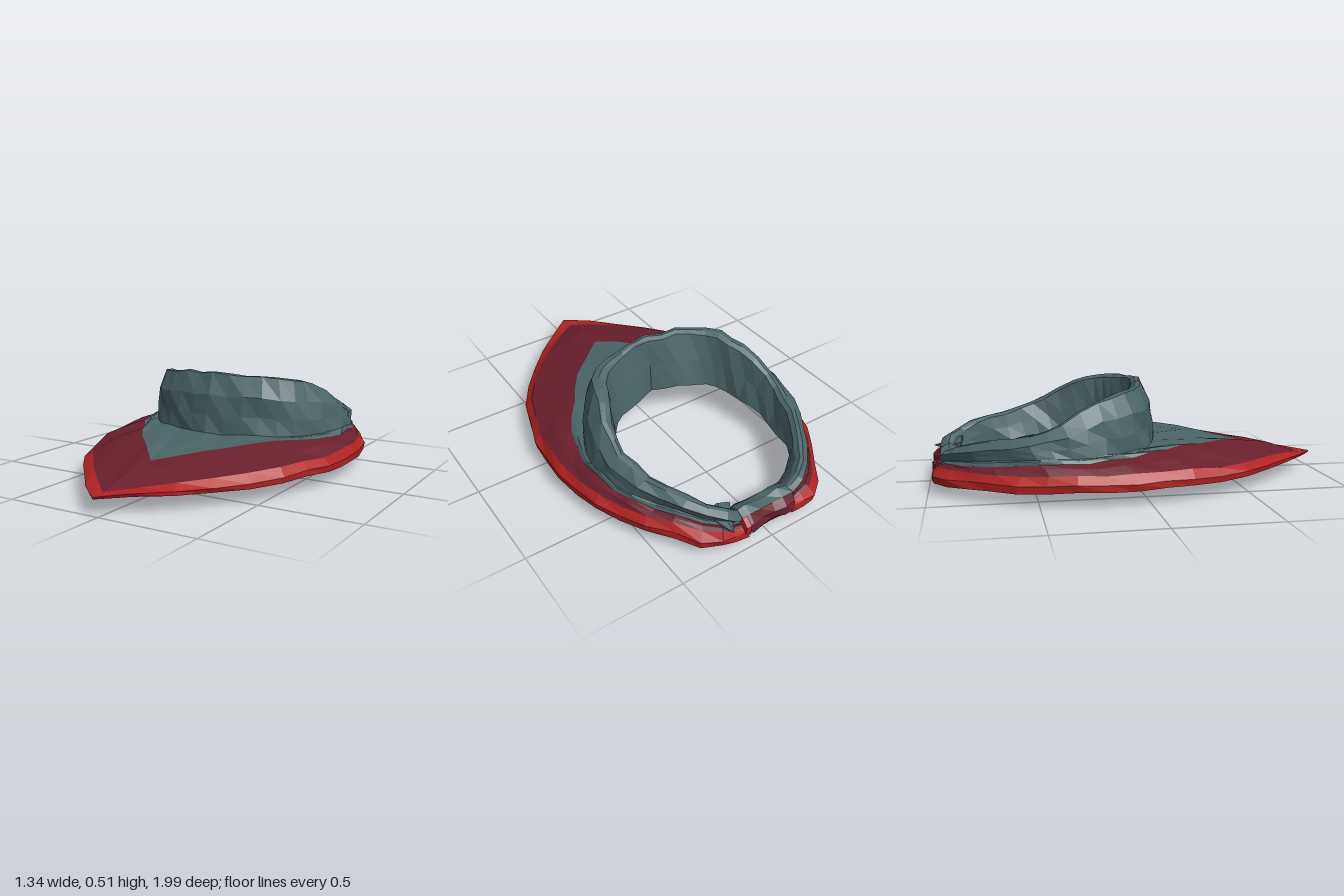
import * as THREE from 'three';

const mat = (name, color) => {
  const m = new THREE.MeshStandardMaterial({ color, flatShading: true, side: THREE.DoubleSide });
  m.name = name;
  return m;
};

// Gentle crumple, driven by position so neighbouring strips stay joined;
// the front point hangs slightly to one side
function crumple(p) {
  const a = 0.006;
  return new THREE.Vector3(
    p.x + a * Math.sin(23 * p.z + 31 * p.y + 5 * p.x) - 0.03 * Math.max(0, p.z) ** 2,
    p.y + a * Math.sin(27 * p.x + 19 * p.z),
    p.z + a * Math.sin(21 * p.x + 37 * p.y + 1));
}

// Quads between consecutive lines of points
function strips(name, lines, material) {
  const pos = [];
  for (let k = 0; k < lines.length - 1; k++) {
    const A = lines[k], B = lines[k + 1];
    for (let i = 0; i < A.length - 1; i++) {
      for (const p of [A[i], A[i + 1], B[i], A[i + 1], B[i + 1], B[i]]) pos.push(p.x, p.y, p.z);
    }
  }
  const g = new THREE.BufferGeometry();
  g.setAttribute('position', new THREE.Float32BufferAttribute(pos, 3));
  g.computeVertexNormals();
  const mesh = new THREE.Mesh(g, material);
  mesh.name = name;
  return mesh;
}

// Half line from the knot round to the front point
const V = (x, y, z) => new THREE.Vector3(x, y, z);
const N = 18;
const half = pts => {
  const c = new THREE.CatmullRomCurve3(pts.map(p => V(...p)));
  return Array.from({ length: N + 1 }, (_, i) => c.getPoint(i / N));
};
// Mirror a half line to the other side
const full = h => [...h, ...h.slice(0, -1).reverse().map(p => V(-p.x, p.y, p.z))].map(crumple);
// Line between two others, spread from the neck axis by s and raised by dy
const mix = (a, b, t, s = 1, dy = 0) => a.map((p, i) => {
  const q = p.clone().lerp(b[i], t);
  return V(q.x * s, q.y + dy, -.4 + (q.z + .4) * s);
});

export function createModel() {
  const group = new THREE.Group();
  group.name = 'neckerchief';
  const teal = mat('teal cloth', 0x4b6467);
  const maroon = mat('maroon border', 0x6a1f2c);
  const red = mat('red hem', 0xb02222);

  // Lines of the cloth, from beneath the collar outwards
  const under = half([[.12, .075, -.88], [.24, .07, -.865], [.37, .065, -.71], [.47, .07, -.52], [.48, .08, -.32],
    [.43, .11, -.14], [.32, .14, -.02], [.16, .155, .03], [0, .155, .06]]);
  const neck = half([[.12, .1, -.84], [.2, .1, -.82], [.34, .12, -.7], [.38, .13, -.52], [.38, .15, -.35],
    [.33, .17, -.2], [.26, .19, -.11], [.14, .2, -.07], [0, .19, -.01]]);
  const ridgeIn = half([[.12, .14, -.89], [.21, .18, -.87], [.34, .24, -.72], [.42, .275, -.54], [.44, .34, -.38],
    [.38, .43, -.22], [.31, .46, -.09], [.18, .48, -.01], [0, .485, .02]]);
  const ridgeOut = half([[.12, .14, -.92], [.22, .19, -.91], [.37, .25, -.75], [.46, .28, -.56], [.48, .35, -.38],
    [.43, .44, -.2], [.36, .47, -.05], [.2, .49, .03], [0, .495, .06]]);
  const base = half([[.12, .115, -.94], [.24, .14, -.905], [.4, .17, -.72], [.52, .19, -.52], [.545, .2, -.34],
    [.5, .2, -.16], [.38, .2, 0], [.2, .2, .1], [0, .2, .14]]);
  const border = half([[.12, .11, -.95], [.25, .13, -.915], [.41, .15, -.735], [.53, .17, -.52], [.56, .18, -.28],
    [.49, .19, -.03], [.36, .2, .17], [.19, .185, .4], [0, .16, .59]]);
  const hem = half([[.13, .1, -.97], [.265, .12, -.94], [.445, .13, -.745], [.58, .13, -.485], [.638, .14, -.2],
    [.61, .14, .09], [.49, .13, .41], [.255, .11, .695], [0, .09, .93]]);
  const edge = half([[.13, .085, -.98], [.28, .085, -.965], [.46, .095, -.77], [.605, .095, -.5], [.665, .1, -.2],
    [.64, .1, .1], [.52, .095, .43], [.28, .085, .74], [0, .08, 1.005]]);
  const edgeLow = mix(edge, hem, .12, 1, -.04);
  const hemLow = mix(hem, border, .1, 1, -.055);
  // The cloth thins towards the front point
  [edgeLow, hemLow].forEach(l => l.forEach((p, i) => { p.y += .028 * (i / N) ** 4; }));
  // Beneath, the maroon reaches the neck at the back and sides
  const borderLow = border.map((p, i) => {
    const f = THREE.MathUtils.clamp((.8 - i / N) / .22, .02, .96);
    return V(p.x, p.y - .035, p.z).lerp(under[i], f);
  });

  // Rolled collar and the teal middle of the flap
  group.add(strips('collar', [under, neck, mix(neck, ridgeIn, .5), ridgeIn, mix(ridgeIn, ridgeOut, .5, 1, .008),
    ridgeOut, mix(ridgeOut, base, .35, 1.05), mix(ridgeOut, base, .7, 1.02), base].map(full), teal));
  group.add(strips('flapCentre', [base, mix(base, border, .5, 1, .006), border].map(full), teal));
  group.add(strips('flapUnderside', [borderLow, under].map(full), teal));

  // Wide border and its underside
  group.add(strips('border', [border, mix(border, hem, .5, 1, .006), hem].map(full), maroon));
  group.add(strips('borderUnderside', [hemLow, borderLow].map(full), maroon));

  // Folded hem along the outer edge
  group.add(strips('hem', [hem, edge, edgeLow, hemLow].map(full), red));

  // Knot at the back: lumpy roll along x
  const knotLine = (k, stations) => stations.map(([x, r]) => {
    const a = k * Math.PI / 5 + .3;
    const lump = 1 + .08 * Math.sin(k % 10 * 2.4 + x * 30);
    return V(x, .085 + r * lump * Math.sin(a), -.907 + r * lump * Math.cos(a));
  });
  const roll = [[-.155, .01], [-.15, .07], [-.09, .078], [-.03, .066], [.04, .068], [.1, .078], [.14, .07], [.15, .01]];
  const lines = (from, to, st) => Array.from({ length: to - from + 1 }, (_, i) => knotLine(from + i, st));
  group.add(strips('knotFront', lines(8, 13, roll), teal));
  group.add(strips('knotBack', lines(3, 8, roll), maroon));
  group.add(strips('knotHem', lines(3, 8, [[.115, .07], [.12, .082], [.145, .078], [.15, .05]]), red));

  // Bunched loose end beside the knot
  const tip = new THREE.Mesh(new THREE.ConeGeometry(.08, .15, 6), teal);
  tip.name = 'looseEnd';
  tip.position.set(.215, .135, -.915);
  tip.rotation.set(-Math.PI / 2, 0, -.1);
  tip.scale.z = .6;
  group.add(tip);

  return group;
}
